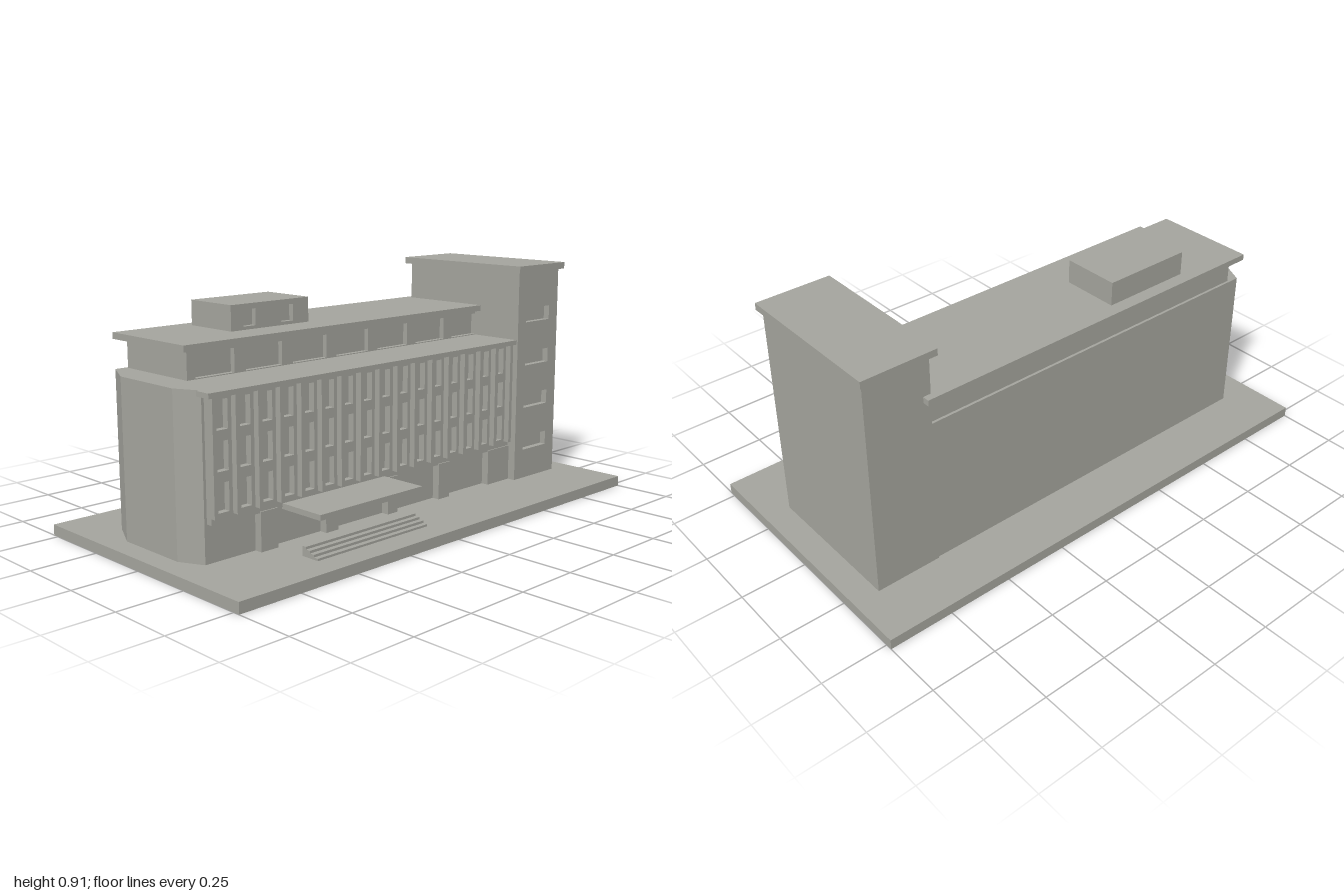
import * as THREE from 'three';

const concrete = new THREE.MeshStandardMaterial({ color: 0xa5a59e });
concrete.name = 'concrete';

export function createModel() {
  const model = new THREE.Group();
  model.name = 'officeBuilding';

  const add = (name, geometry, parent = model) => {
    const mesh = new THREE.Mesh(geometry, concrete);
    mesh.name = name;
    parent.add(mesh);
    return mesh;
  };
  const group = (name) => {
    const g = new THREE.Group();
    g.name = name;
    model.add(g);
    return g;
  };

  // Box given by its limits on each axis
  const block = (name, [x0, x1], [y0, y1], [z0, z1], parent) => {
    const mesh = add(name, new THREE.BoxGeometry(x1 - x0, y1 - y0, z1 - z0), parent);
    mesh.position.set((x0 + x1) / 2, (y0 + y1) / 2, (z0 + z1) / 2);
    return mesh;
  };

  // Front-facing wall pierced by rectangular openings [x0, x1, y0, y1]
  const wall = (name, [x0, x1], [y0, y1], [z0, z1], openings, parent) => {
    const rect = (path, a, b, c, d) =>
      path.moveTo(a, c).lineTo(b, c).lineTo(b, d).lineTo(a, d).closePath();
    const shape = rect(new THREE.Shape(), x0, x1, y0, y1);
    for (const o of openings) shape.holes.push(rect(new THREE.Path(), ...o));
    const geometry = new THREE.ExtrudeGeometry(shape, { depth: z1 - z0, bevelEnabled: false });
    const mesh = add(name, geometry, parent);
    mesh.position.z = z0;
    return mesh;
  };

  block('basePlate', [-1, 1], [0, 0.04], [-0.525, 0.525]);

  // Main volume with a faceted left end; plan drawn as (x, -z)
  const plan = new THREE.Shape([
    [-0.875, -0.2], [0.65, -0.2], [0.65, 0.31], [-0.855, 0.31], [-0.92, 0.18], [-0.92, -0.11],
  ].map(([x, y]) => new THREE.Vector2(x, y)));
  const body = add('mainBody', new THREE.ExtrudeGeometry(plan, { depth: 0.575, bevelEnabled: false }));
  body.rotation.x = -Math.PI / 2;
  body.position.y = 0.04;

  // Three storeys of windows separated by vertical fins
  const facade = group('facade');
  const pitch = 0.093;
  const windows = [];
  for (let i = 0; i < 16; i++) {
    const x = -0.815 + i * pitch;
    for (const y of [0.21, 0.347, 0.483]) windows.push([x - 0.024, x + 0.024, y, y + 0.1]);
  }
  wall('windowWall', [-0.865, 0.645], [0.175, 0.6], [0.2, 0.225], windows, facade);
  for (let i = 0; i <= 16; i++) {
    const x = -0.8615 + i * pitch;
    block('fin', [x - 0.008, x + 0.008], [0.2, 0.597], [0.22, 0.248], facade);
  }
  block('cornice', [-0.89, 0.65], [0.597, 0.615], [0.195, 0.257]);

  // Ground floor piers in front of the recessed wall
  const piers = group('groundFloorPiers');
  for (const [x0, x1] of [[-0.665, -0.59], [-0.37, -0.31], [-0.06, -0.01], [0.22, 0.28], [0.515, 0.645]]) {
    block('pier', [x0, x1], [0.04, 0.18], [0.195, 0.23], piers);
  }

  // Entrance canopy and steps
  block('canopy', [-0.565, -0.075], [0.168, 0.188], [0.22, 0.412]);
  const steps = group('entranceSteps');
  for (let i = 0; i < 4; i++) {
    const top = 0.048 + i * 0.009;
    block('step', [-0.59, -0.06], [top - (i ? 0.009 : 0.008), top], [0.35, 0.425 - i * 0.019], steps);
  }

  // Set-back top storey and its roof slab
  const topStorey = group('topStorey');
  block('topStoreyCore', [-0.81, 0.65], [0.61, 0.716], [-0.3, 0.02], topStorey);
  const topWindows = [];
  for (let i = 0; i < 7; i++) {
    const x = -0.775 + i * 0.2125;
    topWindows.push([x, Math.min(x + 0.163, 0.645), 0.618, 0.702]);
  }
  wall('topStoreyWall', [-0.81, 0.65], [0.61, 0.716], [0.02, 0.04], topWindows, topStorey);
  block('roofSlab', [-0.84, 0.675], [0.715, 0.738], [-0.342, 0.067]);

  // Rooftop plant room
  const plantRoom = group('plantRoom');
  block('plantRoomCore', [-0.54, -0.18], [0.737, 0.83], [-0.29, -0.085], plantRoom);
  wall('plantRoomWall', [-0.54, -0.18], [0.737, 0.83], [-0.085, -0.065],
    [[-0.485, -0.43, 0.75, 0.81], [-0.31, -0.255, 0.75, 0.81]], plantRoom);

  // Stair tower with recessed slots and an overhanging cap
  const tower = group('tower');
  block('towerCore', [0.645, 0.9], [0.04, 0.885], [-0.315, 0.237], tower);
  const slots = [0.158, 0.333, 0.507, 0.682].map((y) => [0.695, 0.845, y, y + 0.056]);
  wall('towerFront', [0.645, 0.9], [0.04, 0.885], [0.237, 0.262], slots, tower);
  block('towerCap', [0.625, 0.915], [0.884, 0.91], [-0.335, 0.28], tower);

  return model;
}
